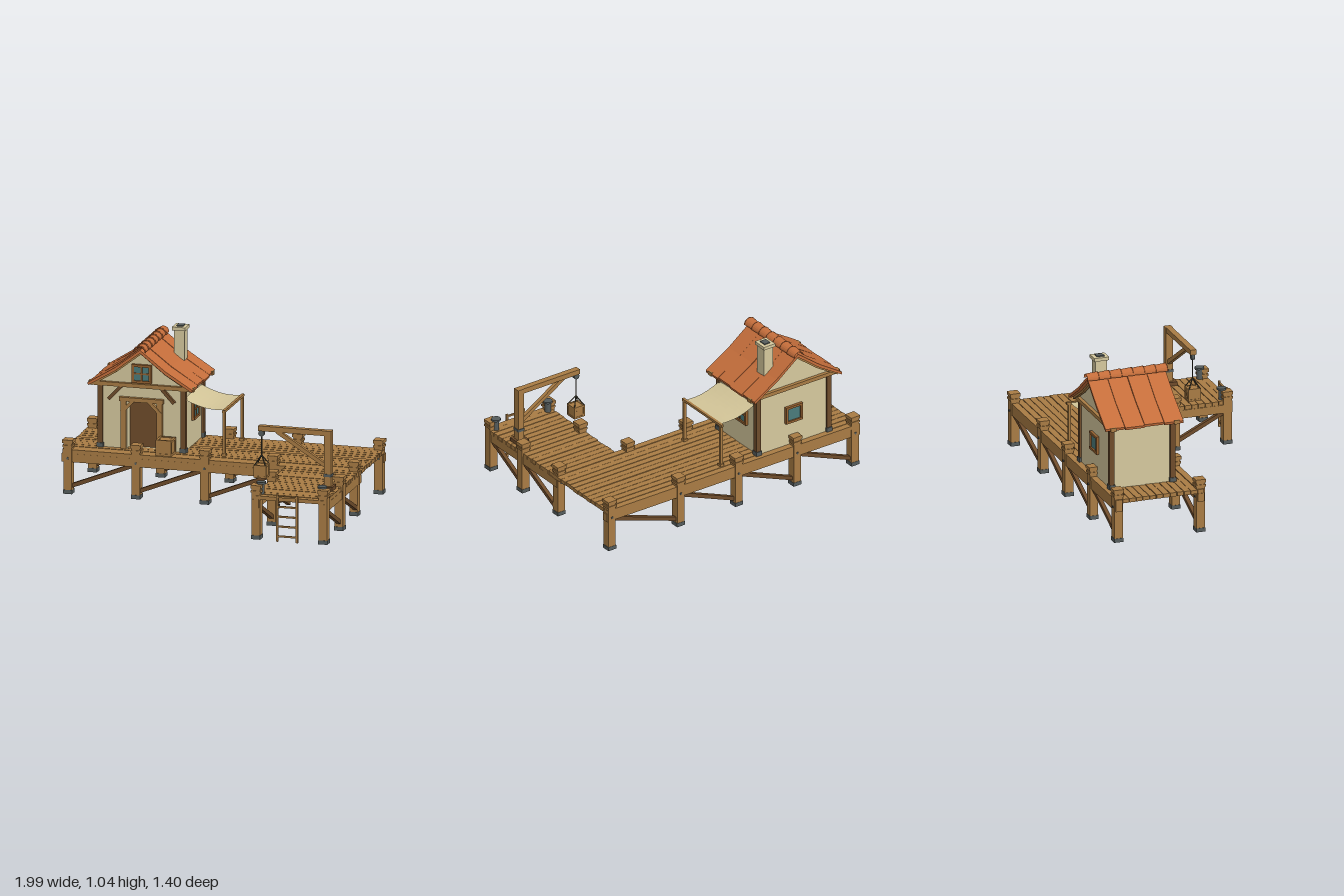
import * as THREE from 'three';

const mat = (name, color, side = THREE.FrontSide) => {
  const m = new THREE.MeshStandardMaterial({ color, side, flatShading: true });
  m.name = name;
  return m;
};

export function createModel() {
  const wood = mat('wood', 0xa97c44), darkWood = mat('dark wood', 0x6f4c2b), plaster = mat('plaster', 0xd6c99e),
    tile = mat('roof tile', 0xc56e3b, THREE.DoubleSide), glass = mat('glass', 0x4a7c7c),
    iron = mat('iron', 0x555c5c), cloth = mat('cloth', 0xd3c598, THREE.DoubleSide),
    frameWood = mat('window frame wood', 0x94602f), rope = mat('rope', 0x4a4536);

  const model = new THREE.Group();
  model.name = 'dockHouse';
  const group = (name) => {
    const g = new THREE.Group();
    g.name = name;
    model.add(g);
    return g;
  };
  const add = (parent, name, geo, material, x = 0, y = 0, z = 0) => {
    const m = new THREE.Mesh(geo, material);
    m.name = name;
    m.position.set(x, y, z);
    parent.add(m);
    return m;
  };
  const box = (p, name, m, w, h, d, x, y, z) => add(p, name, new THREE.BoxGeometry(w, h, d), m, x, y, z);
  // box given by its bounds
  const span = (p, name, m, x0, x1, y0, y1, z0, z1) =>
    box(p, name, m, x1 - x0, y1 - y0, z1 - z0, (x0 + x1) / 2, (y0 + y1) / 2, (z0 + z1) / 2);
  const cyl = (p, name, m, r, h, x, y, z, n = 10) => add(p, name, new THREE.CylinderGeometry(r, r, h, n), m, x, y, z);
  // square bar between two points
  const bar = (p, name, m, a, b, w, h = w) => {
    const A = new THREE.Vector3(...a), B = new THREE.Vector3(...b);
    const mesh = add(p, name, new THREE.BoxGeometry(w, h, A.distanceTo(B)), m);
    mesh.position.copy(A).lerp(B, 0.5);
    mesh.lookAt(B);
    return mesh;
  };
  let seed = 7;
  const rand = () => (seed = (seed * 16807) % 2147483647) / 2147483647;

  // Deck planks, all running along x
  const deck = group('deck');
  const planks = (name, x0, x1, z0, z1, n) => {
    const pitch = (z1 - z0) / n;
    for (let i = 0; i < n; i++) {
      const j = rand() * 0.008, z = z0 + (i + 0.5) * pitch;
      span(deck, name, wood, x0 + j, x1 - rand() * 0.008, 0.265, 0.289 + rand() * 0.003, z - pitch * 0.46, z + pitch * 0.46);
    }
  };
  planks('mainPlank', -1, 0.98, -0.675, -0.07, 13);
  planks('pierPlank', 0.485, 0.98, -0.07, 0.67, 16);

  // Beams under the planks
  for (const z of [-0.65, -0.093]) span(deck, 'mainBeam', wood, -1, 0.98, 0.21, 0.265, z - 0.022, z + 0.022);
  for (const x of [0.508, 0.955]) span(deck, 'pierBeam', wood, x - 0.022, x + 0.022, 0.21, 0.265, -0.11, 0.67);

  // Piles with iron shoes and caps
  const piles = group('piles');
  const pile = (x, z) => {
    box(piles, 'pile', wood, 0.056, 0.34, 0.056, x, 0.17, z);
    box(piles, 'pileShoe', iron, 0.061, 0.026, 0.061, x, 0.013, z);
    box(piles, 'pileCollar', wood, 0.066, 0.014, 0.066, x, 0.314, z);
    box(piles, 'pileCap', wood, 0.068, 0.022, 0.068, x, 0.345, z);
    const bolt = cyl(piles, 'bolt', iron, 0.008, 0.064, x, 0.235, z, 8);
    bolt.rotation.x = Math.PI / 2;
  };
  const mainX = [-0.96, -0.507, -0.05, 0.405, 0.943];
  for (const z of [-0.65, -0.093]) {
    mainX.forEach((x, i) => {
      pile(x, z);
      if (i) bar(piles, 'mainBrace', darkWood, [mainX[i - 1] + 0.02, 0.05, z], [x - 0.02, 0.215, z], 0.026);
    });
  }
  for (const x of [0.508, 0.955]) {
    for (const z of [0.283, 0.635]) pile(x, z);
    bar(piles, 'pierBrace', darkWood, [x, 0.215, 0.62], [x, 0.055, 0.3], 0.026);
    bar(piles, 'pierBrace', darkWood, [x, 0.215, 0.27], [x, 0.05, -0.075], 0.026);
  }

  // Mooring bollards
  const bollards = group('bollards');
  for (const x of [0.53, 0.936]) {
    cyl(bollards, 'bollardStem', iron, 0.02, 0.07, x, 0.325, 0.61, 12);
    cyl(bollards, 'bollardHead', iron, 0.031, 0.012, x, 0.364, 0.61, 12);
  }

  // Ladder
  const ladder = group('ladder');
  for (const x of [0.661, 0.791]) box(ladder, 'ladderRail', wood, 0.014, 0.31, 0.014, x, 0.16, 0.692);
  for (let i = 0; i < 5; i++) box(ladder, 'ladderRung', wood, 0.13, 0.011, 0.011, 0.726, 0.04 + i * 0.065, 0.692);

  // House walls: gable ends, with a doorway in the front one
  const house = group('house'), cx = -0.507;
  const gable = (door) => {
    const s = new THREE.Shape([[-0.278, 0.289], [0.278, 0.289], [0.278, 0.735], [0.17, 0.805], [0, 0.935], [-0.17, 0.805],
      [-0.278, 0.735]].map((p) => new THREE.Vector2(...p)));
    if (door) s.holes.push(new THREE.Path([[-0.1, 0.291], [-0.1, 0.555], [-0.06, 0.605], [0.06, 0.605], [0.1, 0.555],
      [0.1, 0.291]].map((p) => new THREE.Vector2(...p))));
    return new THREE.ExtrudeGeometry(s, { depth: 0.07, bevelEnabled: false });
  };
  add(house, 'frontWall', gable(true), plaster, cx, 0, -0.28);
  add(house, 'backWall', gable(false), plaster, cx, 0, -0.63);
  for (const s of [-1, 1]) box(house, 'sideWall', plaster, 0.03, 0.44, 0.4, cx + s * 0.263, 0.509, -0.42);
  span(house, 'door', darkWood, cx - 0.11, cx + 0.11, 0.289, 0.61, -0.295, -0.275);

  // Timber frame
  for (const s of [-1, 1]) {
    for (const z of [-0.212, -0.625]) {
      box(house, 'cornerPost', darkWood, 0.034, 0.42, 0.034, cx + s * 0.276, 0.5, z);
      box(house, 'postFoot', iron, 0.043, 0.03, 0.043, cx + s * 0.276, 0.304, z);
    }
    bar(house, 'wallBrace', darkWood, [cx + s * 0.218, 0.613, -0.2], [cx + s * 0.135, 0.702, -0.2], 0.022);
    box(house, 'doorPost', wood, 0.036, 0.32, 0.03, cx + s * 0.12, 0.449, -0.205);
    bar(house, 'doorBrace', wood, [cx + s * 0.13, 0.535, -0.195], [cx + s * 0.055, 0.61, -0.195], 0.022);
    box(house, 'wallPlate', wood, 0.03, 0.025, 0.46, cx + s * 0.275, 0.712, -0.42);
  }
  box(house, 'doorLintel', wood, 0.295, 0.027, 0.036, cx, 0.619, -0.203);
  for (const z of [-0.205, -0.635]) box(house, 'tieBeam', wood, 0.7, 0.026, 0.036, cx, 0.713, z);

  // Windows, built facing +z and then turned
  const windowUnit = (name, w, h, x, y, z, turn, bars) => {
    const g = group(name), t = 0.016;
    box(g, 'glassPane', glass, w - t, h - t, 0.008, 0, 0, 0.004);
    for (const s of [-1, 1]) {
      box(g, 'windowJamb', frameWood, t, h, 0.022, s * (w - t) / 2, 0, 0.006);
      box(g, 'windowRail', frameWood, w, t, 0.024, 0, s * (h - t) / 2, 0.006);
    }
    if (bars) {
      box(g, 'windowBar', frameWood, 0.01, h - t, 0.014, 0, 0, 0.006);
      box(g, 'windowBar', frameWood, w - t, 0.01, 0.014, 0, 0, 0.006);
    }
    g.position.set(x, y, z);
    g.rotation.y = turn;
  };
  windowUnit('gableWindow', 0.13, 0.122, cx, 0.792, -0.208, 0, true);
  windowUnit('sideWindow', 0.145, 0.13, cx + 0.279, 0.525, -0.452, Math.PI / 2, true);
  windowUnit('backWindow', 0.13, 0.12, cx, 0.51, -0.631, Math.PI, false);

  // Roof: four tile panels on each slope, rafters beneath, ridge tiles on top
  const roof = group('roof');
  const edges = [-0.688, -0.555, -0.422, -0.289, -0.157];
  for (const s of [-1, 1]) {
    for (let i = 0; i < 4; i++) {
      const e = 0.343 + (i % 2) * 0.006;
      const shape = new THREE.Shape([[0, 0.962], [0.17, 0.832], [e, 0.722], [e - 0.004, 0.705], [0.165, 0.812], [0, 0.94]]
        .map(([x, y]) => new THREE.Vector2(s * x, y)));
      const geo = new THREE.ExtrudeGeometry(shape, { depth: edges[i + 1] - edges[i] - 0.003, bevelEnabled: false });
      add(roof, 'roofPanel', geo, tile, cx, (i % 2) * -0.003, edges[i]);
    }
    for (const z of [-0.195, -0.65]) {
      bar(roof, 'rafter', wood, [cx, 0.934, z], [cx + s * 0.166, 0.804, z], 0.022, 0.016);
      bar(roof, 'rafter', wood, [cx + s * 0.166, 0.804, z], [cx + s * 0.33, 0.704, z], 0.022, 0.016);
    }
  }
  for (let i = 0; i < 7; i++) {
    const geo = new THREE.CylinderGeometry(0.042, 0.036, 0.082, 10, 1, true, Math.PI / 2, Math.PI);
    add(roof, 'ridgeTile', geo, tile, cx, 0.947, -0.656 + i * 0.0775).rotation.x = Math.PI / 2;
    const rim = add(roof, 'ridgeRim', new THREE.TorusGeometry(0.038, 0.005, 4, 10, Math.PI), tile, cx, 0.947, -0.619 + i * 0.0775);
    rim.scale.z = 0.8;
  }

  // Chimney
  const chimney = group('chimney');
  box(chimney, 'chimneyStack', plaster, 0.07, 0.22, 0.076, -0.349, 0.91, -0.545);
  box(chimney, 'chimneyCap', plaster, 0.088, 0.022, 0.1, -0.349, 1.024, -0.545);
  box(chimney, 'flue', iron, 0.044, 0.01, 0.05, -0.349, 1.037, -0.545);

  // Awning with sagging cloth
  const awning = group('awning');
  const sheet = new THREE.PlaneGeometry(1, 1, 10, 6), pos = sheet.attributes.position;
  for (let i = 0; i < pos.count; i++) {
    const t = pos.getX(i) + 0.5, v = pos.getY(i);
    pos.setXYZ(i, -0.225 + t * 0.265, 0.648 - 0.058 * t - 0.02 * Math.sin(Math.PI * t) - 0.03 * v * v * (1 - t), -0.408 - v * 0.385);
  }
  sheet.computeVertexNormals();
  add(awning, 'awningCloth', sheet, cloth);
  span(awning, 'awningBar', wood, 0.032, 0.05, 0.578, 0.594, -0.625, -0.19);
  for (const z of [-0.207, -0.607]) {
    box(awning, 'awningPole', wood, 0.018, 0.3, 0.018, 0.041, 0.44, z);
    box(awning, 'poleFoot', wood, 0.03, 0.018, 0.03, 0.041, 0.298, z);
  }

  // Crates: panelled box with edge battens and a diagonal
  const crate = (name, s, x, y, z) => {
    const g = group(name), b = s * 0.14, o = (s - b) / 2;
    box(g, 'crateBody', wood, s * 0.93, s * 0.93, s * 0.93, 0, 0, 0);
    for (const p of [-1, 1]) for (const q of [-1, 1]) {
      box(g, 'crateBatten', wood, b, s, b, p * o, 0, q * o);
      box(g, 'crateBatten', wood, s, b, b, 0, p * o, q * o);
      box(g, 'crateBatten', wood, b, b, s, p * o, q * o, 0);
    }
    for (const p of [-1, 1]) bar(g, 'crateDiagonal', wood, [-o, -o, p * s * 0.47], [o, o, p * s * 0.47], b * 0.5, b);
    g.position.set(x, y, z);
  };
  crate('doorCrate', 0.104, -0.328, 0.343, -0.138);
  crate('hangingCrate', 0.082, 0.467, 0.382, 0.39);

  // Crane
  const crane = group('crane'), cz = 0.39;
  box(crane, 'craneBase', darkWood, 0.085, 0.026, 0.09, 0.907, 0.303, cz);
  box(crane, 'cranePost', wood, 0.044, 0.39, 0.046, 0.912, 0.485, cz);
  box(crane, 'craneBand', iron, 0.05, 0.018, 0.052, 0.912, 0.387, cz);
  box(crane, 'craneArm', wood, 0.485, 0.034, 0.04, 0.692, 0.663, cz);
  bar(crane, 'craneBrace', wood, [0.57, 0.65, cz], [0.905, 0.44, cz], 0.026);
  cyl(crane, 'pulley', iron, 0.02, 0.022, 0.467, 0.628, cz, 12).rotation.x = Math.PI / 2;
  cyl(crane, 'hoistRope', rope, 0.004, 0.15, 0.467, 0.555, cz, 6);
  for (const p of [-1, 1]) for (const q of [-1, 1])
    bar(crane, 'slingRope', rope, [0.467, 0.485, cz], [0.467 + p * 0.038, 0.42, cz + q * 0.038], 0.006);

  return model;
}
